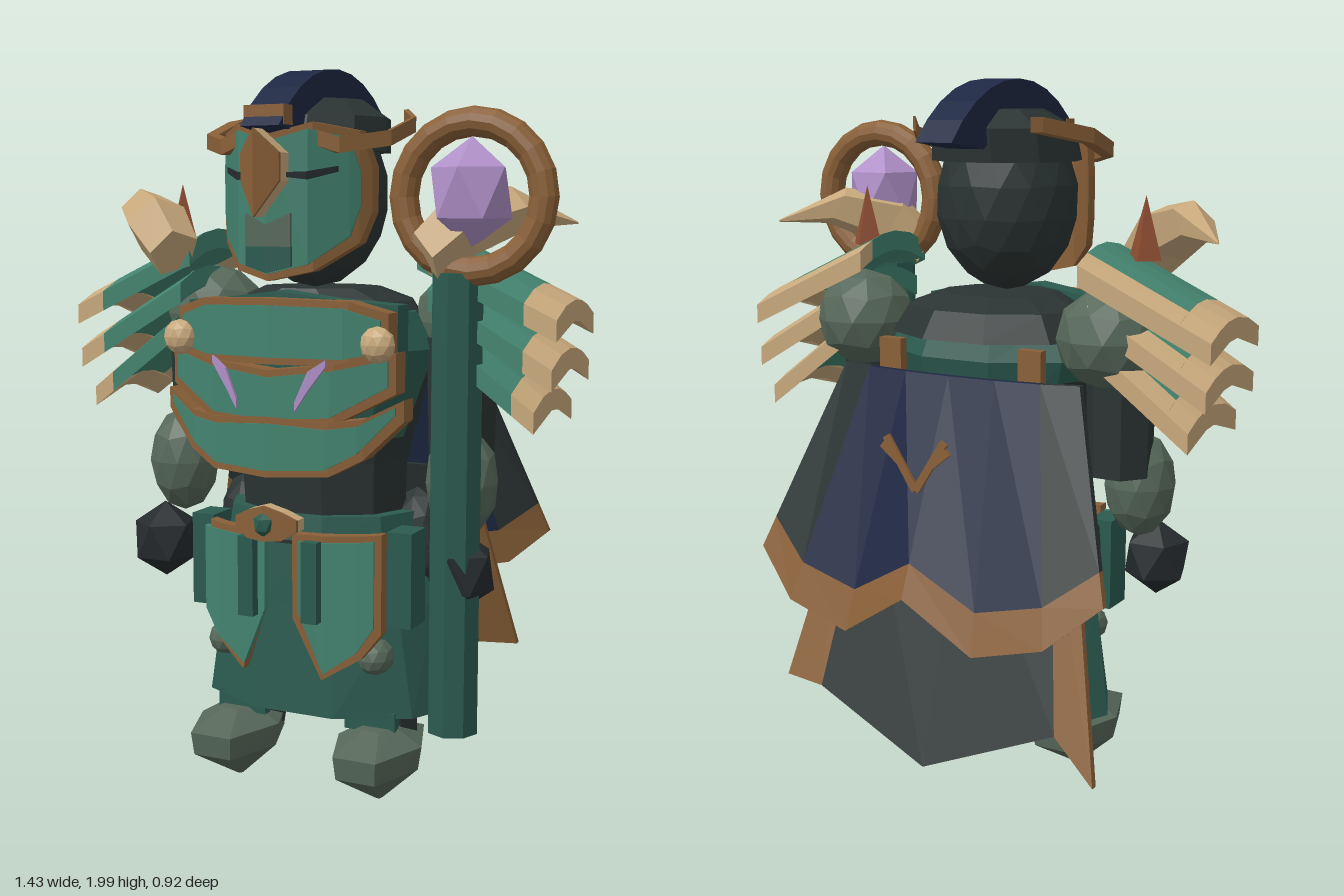
import * as THREE from 'three';

const mat = (name, color) => {
  const m = new THREE.MeshStandardMaterial({ color });
  m.name = name;
  return m;
};

export function createModel() {
  const root = new THREE.Group();
  root.name = 'armouredMage';
  const teal = mat('teal plate', 0x43836f), robe = mat('dark teal cloth', 0x2b5a4f);
  const navy = mat('navy cloth', 0x1e2843), bronze = mat('bronze', 0x8a6038);
  const bone = mat('bone', 0xc8a97c), stone = mat('grey green', 0x56685a);
  const dark = mat('charcoal', 0x2b3433), black = mat('glove', 0x262b2e);
  const lilac = mat('lilac crystal', 0xb090c8), rust = mat('rust', 0x8f4e33);

  // Faceted mesh: every face keeps its own normal
  function add(name, geo, material, pos = [0, 0, 0]) {
    const g = geo.index ? geo.toNonIndexed() : geo;
    g.computeVertexNormals();
    const mesh = new THREE.Mesh(g, material);
    mesh.name = name;
    mesh.position.set(...pos);
    root.add(mesh);
    return mesh;
  }

  // Closed solid through a list of equal-length point rings, wound outward
  function loft(name, rings, material, pos) {
    const n = rings[0].length, tris = [];
    for (let r = 0; r < rings.length - 1; r++) {
      for (let i = 0; i < n; i++) {
        const j = (i + 1) % n, a = rings[r], b = rings[r + 1];
        tris.push([a[i], a[j], b[j]], [a[i], b[j], b[i]]);
      }
    }
    [rings[0], rings[rings.length - 1]].forEach((ring, end) => {
      const c = [0, 1, 2].map(k => ring.reduce((s, p) => s + p[k], 0) / n);
      for (let i = 0; i < n; i++) {
        const j = (i + 1) % n;
        tris.push(end ? [ring[i], ring[j], c] : [ring[j], ring[i], c]);
      }
    });
    const v = p => new THREE.Vector3(...p), o = v(rings[0][0]);
    let volume = 0;
    for (const [a, b, c] of tris) volume += v(a).sub(o).dot(v(b).sub(o).cross(v(c).sub(o)));
    const flat = tris.flatMap(t => (volume < 0 ? [t[0], t[2], t[1]] : t)).flat();
    const geo = new THREE.BufferGeometry();
    geo.setAttribute('position', new THREE.Float32BufferAttribute(flat, 3));
    return add(name, geo, material, pos);
  }

  const oval = (y, rx, rz, cz = 0, n = 10) => Array.from({ length: n }, (_, i) => {
    const a = (i + 0.5) / n * Math.PI * 2;
    return [rx * Math.sin(a), y, cz + rz * Math.cos(a)];
  });
  const sym = half => [...half.slice(1).reverse().map(([x, ...r]) => [-x, ...r]), ...half];

  // Plate bent around the body; columns are [x, top, bottom]
  const plate = (name, cols, z, bend, t, material) => loft(name, cols.map(([x, a, b]) => {
    const f = z - bend * x * x;
    return [[x, a, f], [x, b, f], [x, b, f - t], [x, a, f - t]];
  }), material);
  function trimmed(name, cols, z, bend, t, e = 0.018) {
    const mid = (cols[0][0] + cols[cols.length - 1][0]) / 2;
    const w = (cols[cols.length - 1][0] - cols[0][0]) / 2;
    plate(name, cols, z, bend, 0.02, teal);
    plate(name + 'Trim', cols.map(([x, a, b]) => [mid + (x - mid) * (1 + e / w), a + e, b - e]), z - 0.005, bend, t, bronze);
  }
  // Ornament with a bronze face on a bone backing
  function ornament(name, cols, z, bend, t) {
    plate(name, cols, z, bend, 0.009, bronze);
    plate(name + 'Backing', cols, z - 0.009, bend, t, bone);
  }

  // Sheet with sloping columns [top point, bottom point], cut between f0 and f1
  const sheet = (name, cols, f0, f1, material) => loft(name, cols.map(([a, b]) => {
    const at = (f, d) => [0, 1, 2].map(k => a[k] + (b[k] - a[k]) * f + (k === 2 ? d : 0));
    return [at(f0, 0), at(f1, 0), at(f1, -0.02), at(f0, -0.02)];
  }), material);

  function gem(name, size, pos, material, detail = 0) {
    const g = new THREE.IcosahedronGeometry(1, detail);
    g.rotateX(-Math.atan(1.618));
    g.scale(...size);
    return add(name, g, material, pos);
  }

  // Body, robe and collar
  loft('torso', [oval(0.72, 0.24, 0.19, 0.03), oval(0.95, 0.25, 0.2, 0.04), oval(1.2, 0.32, 0.22, 0.05)], dark);
  loft('chest', [oval(1.02, 0.26, 0.24, 0.09), oval(1.26, 0.34, 0.27, 0.07), oval(1.36, 0.29, 0.24, 0.08)], robe);
  plate('gorget', sym([[0, 1.42, 1.25], [0.15, 1.4, 1.25], [0.31, 1.385, 1.22]]), 0.33, 0.8, 0.07, robe);
  loft('collar', [oval(1.31, 0.31, 0.24, 0.03), oval(1.385, 0.26, 0.2, 0.03), oval(1.42, 0.17, 0.15, 0.06)], dark);
  loft('skirt', [oval(0.25, 0.39, 0.26, -0.005), oval(0.55, 0.335, 0.195, 0.03), oval(0.8, 0.26, 0.16, 0.05)], robe);
  loft('belt', [oval(0.74, 0.29, 0.21, 0.05), oval(0.81, 0.28, 0.2, 0.05)], robe);
  ornament('buckle', sym([[0, 0.865, 0.77], [0.05, 0.85, 0.775], [0.09, 0.83, 0.8]]), 0.415, 2, 0.036);
  gem('buckleGem', [0.03, 0.035, 0.025], [0, 0.815, 0.41], robe);

  // Layered breastplate
  trimmed('upperBreastplate', sym([[0, 1.385, 1.25], [0.2, 1.38, 1.25], [0.29, 1.35, 1.27]]), 0.385, 0.75, 0.06);
  trimmed('middleBreastplate', sym([[0, 1.2, 1.09], [0.17, 1.22, 1.1], [0.31, 1.25, 1.18]]), 0.395, 0.8, 0.06);
  trimmed('lowerBreastplate', sym([[0, 1.08, 0.955], [0.16, 1.07, 0.965], [0.24, 1.08, 1.01], [0.33, 1.13, 1.11]]), 0.4, 0.8, 0.06);

  // Head, mask and helmet
  gem('head', [0.2, 0.25, 0.2], [0, 1.67, 0.1], dark, 2);
  loft('helmetCap', [oval(1.78, 0.21, 0.21, 0.1), oval(1.87, 0.2, 0.2, 0.08), oval(1.92, 0.12, 0.12, 0.06)], dark);
  trimmed('mask', sym([[0, 1.8, 1.465], [0.1, 1.83, 1.49], [0.18, 1.81, 1.56], [0.2, 1.72, 1.64]]), 0.385, 3.6, 0.04);
  ornament('nose', sym([[0, 1.83, 1.61], [0.055, 1.77, 1.7]]), 0.455, 12, 0.045);
  plate('mouth', sym([[0, 1.59, 1.535], [0.065, 1.62, 1.535]]), 0.393, 3.6, 0.008, stone);
  plate('chin', sym([[0, 1.535, 1.468], [0.065, 1.535, 1.485]]), 0.392, 3.6, 0.008, robe);
  add('browBlock', new THREE.BoxGeometry(0.114, 0.05, 0.05), bronze, [0, 1.865, 0.37]);
  loft('crest', Array.from({ length: 11 }, (_, i) => {
    const a = -0.87 + i * 0.174;
    const p = (x, r, t) => [x, 1.54 + r * Math.cos(t), 0.067 - r * Math.sin(t)];
    return [p(0.055, 0.46, a), p(0.055, 0.335, a * 0.69), p(-0.055, 0.335, a * 0.69), p(-0.055, 0.46, a)];
  }), navy);

  // Cape with bronze hem, and torn tails below it
  const cape = sym([[0, -0.2, 0, 0.66, -0.44], [0.14, -0.195, 0.2, 0.53, -0.42],
    [0.27, -0.18, 0.4, 0.58, -0.4], [0.37, -0.15, 0.54, 0.7, -0.34]])
    .map(([xt, zt, xb, yb, zb]) => [[xt, 1.22, zt], [Math.sign(xt) * xb, yb, zb]]);
  sheet('capeCentre', cape.slice(1, 6), 0, 0.84, navy);
  sheet('capeSide', cape.slice(0, 2), 0, 0.84, dark);
  sheet('capeSide', cape.slice(5), 0, 0.84, dark);
  sheet('capeHem', cape, 0.84, 1, bronze);
  const tails = [[-0.38, 0.85, -0.55, 0.24], [-0.3, 0.9, -0.42, 0.34], [-0.03, 0.9, -0.05, 0.19], [0.28, 0.9, 0.32, 0.33], [0.36, 0.85, 0.44, 0.34]]
    .map(([xt, yt, xb, yb]) => [[xt, yt, -0.16 - 0.36 * (0.92 - yt)], [xb, yb, -0.16 - 0.36 * (0.92 - yb)]]);
  sheet('tailCentre', tails.slice(1, 4), 0, 1, dark);
  sheet('tailEdge', tails.slice(0, 2), 0, 1, bronze);
  sheet('tailEdge', tails.slice(3), 0, 1, bronze);

  // Shoulder slab cross-section, arched along z
  const section = (x, y, zs) => {
    const drop = z => y - 1.6 * (z - 0.035) ** 2;
    return [...zs.map(z => [x, drop(z), z]), ...[...zs].reverse().map(z => [x, drop(z) - 0.055, z])];
  };

  for (const s of [1, -1]) {
    const cols = list => list.map(([x, a, b]) => [s * x, a, b]);
    // Face and chest details
    plate('eye', cols([[0.05, 1.722, 1.71], [0.1, 1.724, 1.704], [0.16, 1.738, 1.724]]), 0.392, 3.6, 0.008, black);
    plate('chestMark', cols([[0.085, 1.14, 1.115], [0.12, 1.22, 1.17], [0.165, 1.25, 1.232]]), 0.405, 0.8, 0.009, lilac);
    gem('stud', [0.048, 0.048, 0.035], [s * 0.29, 1.29, 0.335], bone, 1);
    const band = [[0.07, 1.82, 0.33], [0.16, 1.79, 0.3], [0.26, 1.81, 0.2], [0.27, 1.85, 0.06], [0.19, 1.88, -0.08]]
      .map(([x, y, z]) => [[-1, -1], [1, -1], [1, 1], [-1, 1]].map(([u, v]) => [s * (x + 0.012 * u), y + 0.02 * v, z + 0.012 * u]));
    loft('helmetBand', band, bronze);

    // Skirt armour
    trimmed('tasset', cols([[0.05, 0.755, 0.56], [0.12, 0.755, 0.395], [0.21, 0.76, 0.46], [0.255, 0.765, 0.53]]), 0.315, 0.6, 0.035);
    add('strap', new THREE.BoxGeometry(0.045, 0.22, 0.03), robe, [s * 0.095, 0.65, 0.325]);
    add('pouch', new THREE.BoxGeometry(0.07, 0.26, 0.1), robe, [s * 0.3, 0.65, 0.16]);
    gem('hipGuard', [0.08, 0.15, 0.06], [s * 0.27, 0.72, 0.01], dark, 1);
    gem('knee', [0.05, 0.05, 0.06], [s * 0.23, 0.43, 0.2], stone, 1);
    add('backStrap', new THREE.BoxGeometry(0.07, 0.12, 0.03), bronze, [s * 0.22, 1.24, -0.155]);
    add('sideTrim', new THREE.BoxGeometry(0.08, 0.14, 0.03), bronze, [s * 0.32, 0.94, -0.1]);

    // Cape emblem, a feathered V
    add('emblem', new THREE.BoxGeometry(0.022, 0.165, 0.009), bronze, [s * 0.045, 1.01, -0.385]).rotation.z = -s * 0.57;
    add('emblemTip', new THREE.BoxGeometry(0.02, 0.07, 0.009), bronze, [s * 0.075, 1.035, -0.385]).rotation.z = -s * 0.9;

    // Legs, feet and arms
    add('leg', new THREE.CylinderGeometry(0.085, 0.085, 0.2, 8), dark, [s * 0.21, 0.25, 0.06]);
    add('shinGuard', new THREE.BoxGeometry(0.15, 0.06, 0.03), robe, [s * 0.2, 0.235, 0.16]);
    loft('foot', [oval(0.01, 0.008, 0.012, 0, 6), oval(0.11, 0.115, 0.19, 0, 6), oval(0.175, 0.125, 0.2, 0, 6), oval(0.22, 0.05, 0.07, 0, 6)],
      stone, [s * 0.22, 0, 0.15]);
    gem('shoulder', [0.145, 0.14, 0.14], [s * 0.39, 1.33, -0.04], stone, 1);
    add('upperArm', new THREE.CylinderGeometry(0.1, 0.09, 0.34, 7), dark, [s * 0.4, 1.12, 0.02]);
    gem('forearm', [0.1, 0.15, 0.1], [s * 0.43, 0.91, 0.09], stone, 1);
    gem('hand', [0.1, 0.11, 0.1], [s * 0.455, 0.685, 0.16], black);

    // Three overlapping shoulder slabs with bone edges
    [[0.34, 1.575, 0.715, 1.4], [0.37, 1.47, 0.705, 1.275], [0.4, 1.36, 0.66, 1.165]].forEach(([xa, ya, xb, yb]) => {
      const cut = (f, zs) => section(s * (xa + (xb - xa) * f), ya + (yb - ya) * f, zs);
      const face = [-0.075, -0.02, 0.04, 0.12, 0.2], edge = [-0.135, -0.105, -0.075];
      loft('shoulderSlab', [cut(0, face), cut(0.77, face)], teal);
      loft('slabBackEdge', [cut(0, edge), cut(0.77, edge)], bone);
      loft('slabEnd', [cut(0.77, [-0.135, ...face]), cut(1, [-0.135, ...face])], bone);
    });

    // Curved horn and small spike
    const horn = [[0.37, 1.51, 0.23, 0.075], [0.45, 1.59, 0.19, 0.09], [0.57, 1.635, 0.08, 0.065], [0.69, 1.595, -0.05, 0.004]];
    loft('horn', horn.map(([x, y, z, r]) => Array.from({ length: 5 }, (_, i) => {
      const a = i / 5 * Math.PI * 2, c = r * Math.cos(a), u = r * Math.sin(a);
      return [s * (x + 0.6 * c - 0.4 * u), y + 0.85 * u, z + 0.7 * c + 0.2 * u];
    })), bone);
    add('spike', new THREE.ConeGeometry(0.048, 0.17, 4), rust, [s * 0.445, 1.615, 0.055]);
  }

  // Staff with ring and crystal
  add('staffShaft', new THREE.CylinderGeometry(0.07, 0.07, 1.22, 8), robe, [0.445, 0.86, 0.18]);
  add('staffRing', new THREE.TorusGeometry(0.187, 0.038, 12, 20), bronze, [0.49, 1.66, 0.2]);
  gem('staffCrystal', [0.115, 0.14, 0.115], [0.49, 1.67, 0.21], lilac);
  return root;
}
